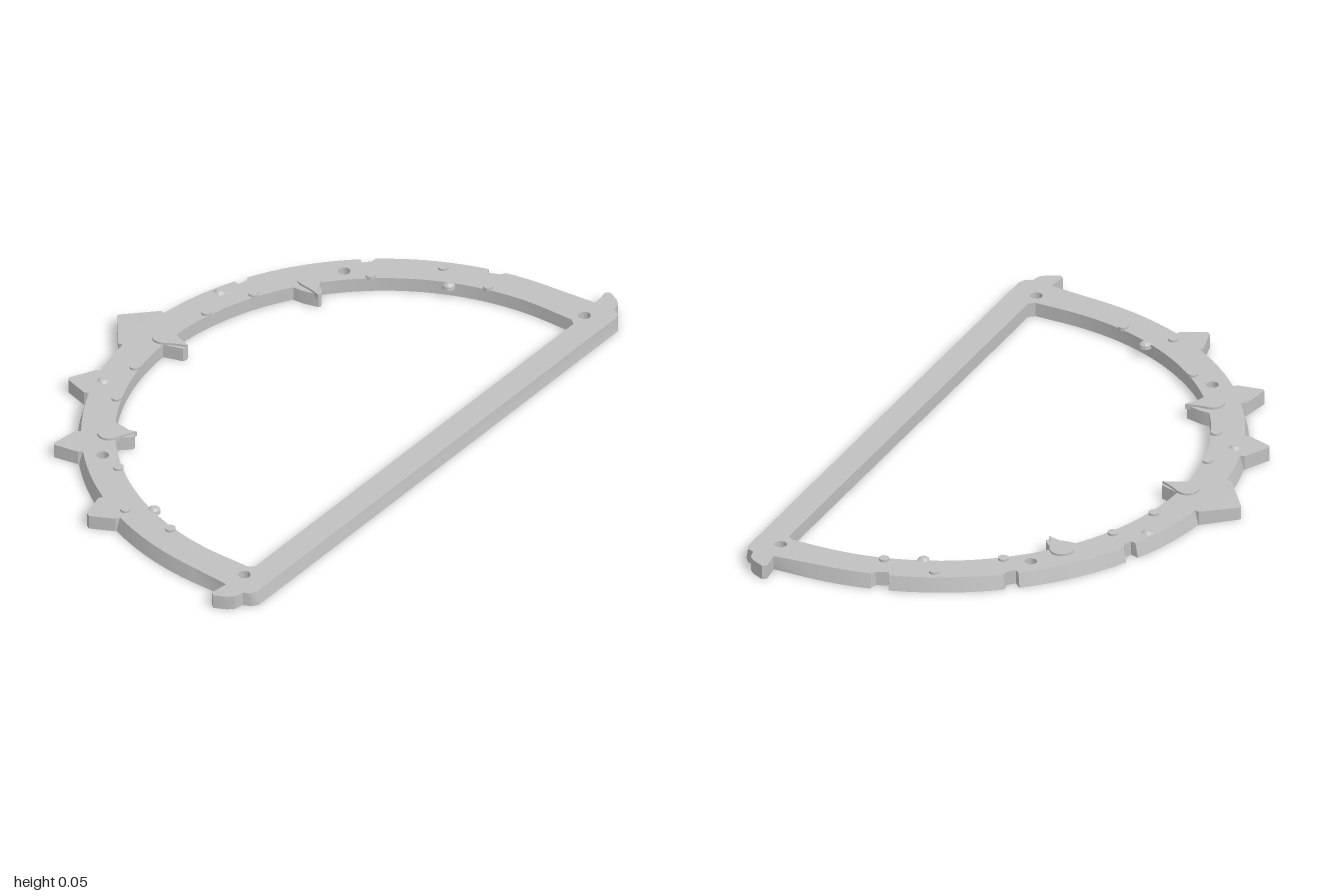
import * as THREE from 'three';
import { toCreasedNormals } from 'three/addons/utils/BufferGeometryUtils.js';

const CZ = 0.41, R_OUT = 0.93, R_IN = 0.815, H = 0.046, PAD_H = 0.053, DRAFT = 0.012;

// point on the arch: angle in degrees, 0 = back centre, positive = +x
const polar = (r, deg) => {
  const a = THREE.MathUtils.degToRad(deg);
  return [r * Math.sin(a), CZ - r * Math.cos(a)];
};

function arc(r, a0, a1) {
  const n = Math.max(2, Math.ceil(Math.abs(a1 - a0) / 2.5));
  return Array.from({ length: n + 1 }, (_, i) => polar(r, a0 + (a1 - a0) * i / n));
}

const toVec = pts => pts.map(([x, z]) => new THREE.Vector2(x, -z));
const mirror = pts => pts.map(([x, z]) => [-x, z]).reverse();

// upright slab from a shape drawn in x and -z
function slab(shape, y0, y1) {
  const g = new THREE.ExtrudeGeometry(shape, { depth: y1 - y0, bevelEnabled: false, curveSegments: 10 });
  g.rotateX(-Math.PI / 2);
  g.translate(0, y0, 0);
  return g;
}

// spike outline whose foot stays upright beside the drafted rim
const spike = (start, end, pts) =>
  [start, end, [polar(R_OUT + 0.003, start), ...pts, polar(R_OUT + 0.003, end)]];

const notch = (start, end) =>
  [start, end, [polar(0.9, start + 0.2), polar(0.905, end - 0.75)]];

function frameGeometry() {
  // spikes and notches that interrupt the outer arc
  const breaks = [
    spike(-66.2, -58.7, [[-0.89, -0.04], [-0.882, -0.053]]),
    spike(-43.2, -36.5, [[-0.652, -0.35], [-0.645, -0.357], [-0.56, -0.343]]),
    spike(-23.8, -16.2, [[-0.352, -0.522], [-0.342, -0.528]]),
    spike(-6.6, 6.6, [[0.005, -0.606], [0.016, -0.613], [0.026, -0.606]]),
    notch(23.5, 26.3),
    notch(48.5, 51.4),
    notch(73.1, 76.6),
  ];
  const outer = [];
  let a = -90;
  for (const [start, end, pts] of breaks) {
    outer.push(...arc(R_OUT, a, start), ...pts);
    a = end;
  }
  outer.push(...arc(R_OUT, a, 90));

  // corner ear and rounded foot
  const ear = [[0.93, 0.508], [0.99, 0.5], [1, 0.512], [0.982, 0.55], [0.965, 0.568], [0.935, 0.575],
    [0.925, 0.597], [0.905, 0.613]];
  outer.push(...ear, ...mirror(ear));

  // opening with three inward teeth
  const tooth = [[0.449, -0.238], [0.462, -0.187], [0.472, -0.183], [0.482, -0.19]];
  const inner = [
    [-0.815, 0.505], ...arc(R_IN, -90, -39), ...mirror(tooth),
    ...arc(R_IN, -33.3, -2.2), [-0.013, -0.343], [0, -0.338], [0.013, -0.343],
    ...arc(R_IN, 2.2, 33.3), ...tooth, ...arc(R_IN, 39, 90),
    [0.815, 0.505], [0.8, 0.522], [-0.8, 0.522],
  ];

  // counter-clockwise outline, so that the walls of the openings face inwards
  const shape = new THREE.Shape(toVec(outer).reverse());
  shape.holes.push(new THREE.Path(toVec(inner)));
  for (const [x, z] of [[0.608, -0.2], [0.856, 0.522]]) {
    for (const s of [-1, 1]) {
      shape.holes.push(new THREE.Path().absarc(s * x, -z, 0.019, 0, Math.PI * 2, true));
    }
  }

  const g = slab(shape, 0, H);
  // draft on the top rim, and a lowered point on the large spike
  const p = g.attributes.position;
  for (let i = 0; i < p.count; i++) {
    if (p.getY(i) < H / 2) continue;
    const x = p.getX(i), z = p.getZ(i), r = Math.hypot(x, z - CZ);
    if (z < 0.45 && Math.abs(r - R_OUT) < 0.002) {
      const k = (R_OUT - DRAFT) / R_OUT;
      p.setX(i, x * k);
      p.setZ(i, CZ + (z - CZ) * k);
    } else if (z > 0.605) p.setZ(i, z - 0.007);
    else if (z < -0.6) p.setY(i, 0.041);
  }
  return toCreasedNormals(g, 0.5);
}

export function createModel() {
  const model = new THREE.Group();
  const grey = new THREE.MeshStandardMaterial({ color: 0xc0c0c0 });
  grey.name = 'plain grey';

  const add = (name, geometry, x = 0, y = 0, z = 0) => {
    const m = new THREE.Mesh(geometry, grey);
    m.name = name;
    m.position.set(x, y, z);
    model.add(m);
    return m;
  };

  add('archFrame', frameGeometry());

  // raised leaf pads over the inner teeth
  const leaf = new THREE.Shape();
  leaf.moveTo(0, -0.066);
  leaf.quadraticCurveTo(0.012, -0.03, 0.03, -0.005);
  leaf.bezierCurveTo(0.05, 0.03, 0.025, 0.055, 0, 0.055);
  leaf.bezierCurveTo(-0.025, 0.055, -0.05, 0.03, -0.03, -0.005);
  leaf.quadraticCurveTo(-0.012, -0.03, 0, -0.066);
  const leafGeometry = toCreasedNormals(slab(leaf, H - 0.01, PAD_H), 0.5);
  for (const deg of [-37.3, 0, 37.3]) {
    const [x, z] = polar(R_IN, deg);
    add('toothPad', leafGeometry, x, 0, z).rotation.y = -THREE.MathUtils.degToRad(deg);
  }

  // tapered pins and flat studs, mirrored on both sides
  const pin = new THREE.LatheGeometry([[0, 0.034], [0.02, 0.034], [0.018, 0.046], [0.009, PAD_H], [0, PAD_H]]
    .map(([r, y]) => new THREE.Vector2(r, y)), 16);
  const pinGeometry = toCreasedNormals(pin, 0.5);
  const studGeometry = new THREE.CylinderGeometry(0.016, 0.016, 0.012, 16);
  for (const s of [-1, 1]) {
    for (const [x, z] of [[0.293, -0.435], [0.742, 0.095]]) add('pin', pinGeometry, s * x, 0, z);
    for (const [x, z] of [[0.8, 0.2], [0.8, 0.03], [0.635, -0.12], [0.345, -0.345], [0.18, -0.4]]) {
      add('stud', studGeometry, s * x, PAD_H - 0.006, z);
    }
  }
  return model;
}
